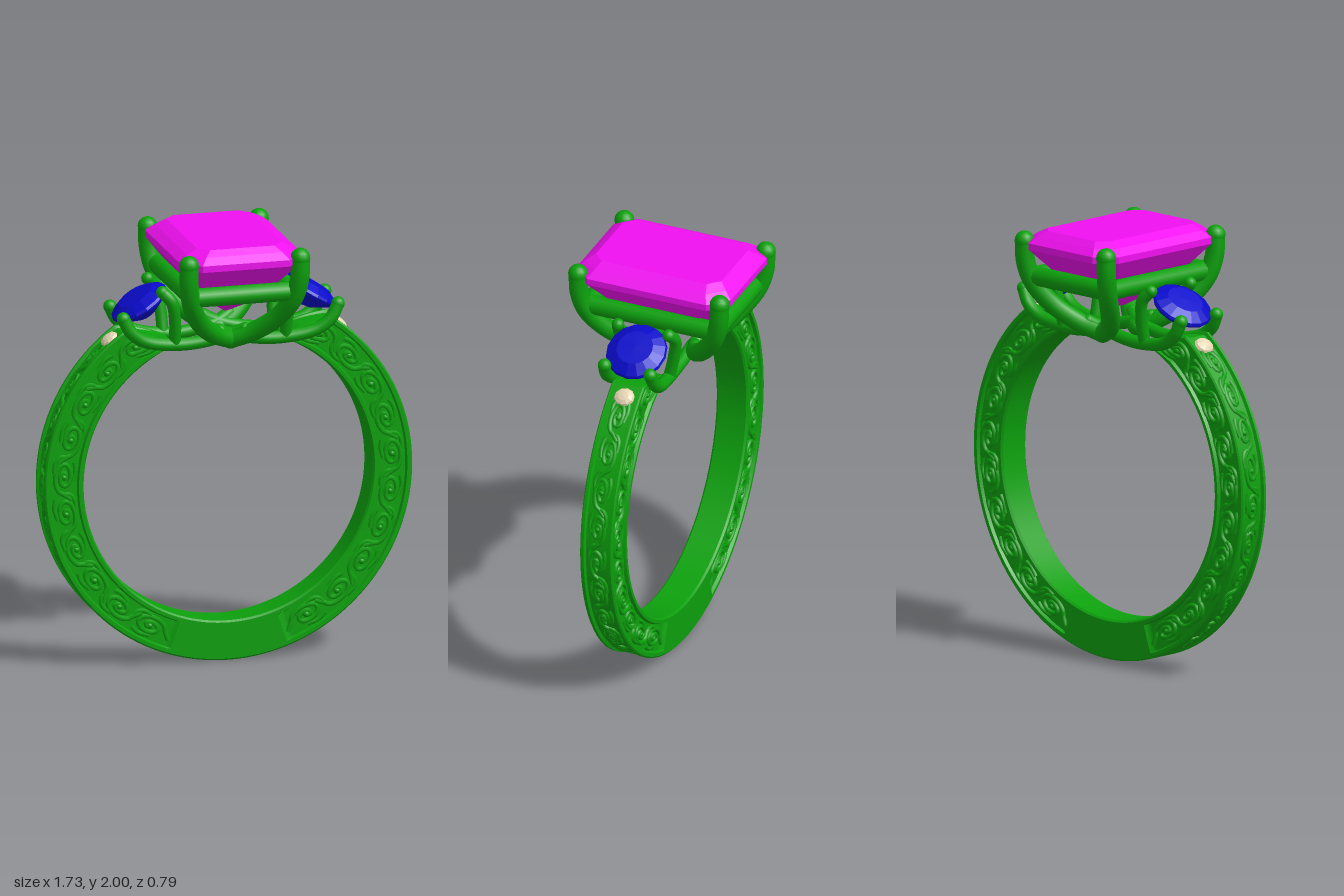
import * as THREE from 'three';
import { toCreasedNormals, mergeGeometries } from 'three/addons/utils/BufferGeometryUtils.js';

const V = (x, y, z) => new THREE.Vector3(x, y, z);
const mat = (color, flatShading = false) => new THREE.MeshStandardMaterial({ color, flatShading });
const rad = THREE.MathUtils.degToRad;
const clamp = THREE.MathUtils.clamp;

const CENTRE = 0.865, INNER = 0.68, OUTER = 0.865, END = 158;

// outer radius of the band: tapers away under the side settings
const outerAt = (deg) => OUTER - 0.165 * clamp((Math.abs(deg) - 145) / (END - 145), 0, 1);
// angle 0 is the bottom of the ring
const onRing = (deg, r, z) => V(r * Math.sin(rad(deg)), CENTRE - r * Math.cos(rad(deg)), z);

// joins closed rings of points into one skin
function loft(rings) {
  const n = rings[0].length, pos = [], idx = [];
  rings.forEach((ring) => ring.forEach((p) => pos.push(p.x, p.y, p.z)));
  for (let i = 0; i < rings.length - 1; i++) {
    for (let j = 0; j < n; j++) {
      const a = i * n + j, b = i * n + (j + 1) % n;
      idx.push(a, b, a + n, b, b + n, a + n);
    }
  }
  const g = new THREE.BufferGeometry();
  g.setAttribute('position', new THREE.Float32BufferAttribute(pos, 3));
  g.setIndex(idx);
  g.computeVertexNormals();
  return g;
}

// round wire with ball ends
function wire(points, r, segs = 32, sides = 12, balls = true) {
  const parts = [new THREE.TubeGeometry(new THREE.CatmullRomCurve3(points), segs, r, sides)];
  if (balls) {
    for (const p of [points[0], points[points.length - 1]]) {
      parts.push(new THREE.SphereGeometry(r * 1.04, 14, 10).translate(p.x, p.y, p.z));
    }
  }
  return mergeGeometries(parts);
}

// band with recessed side and outer panels, plain at the bottom
function bandGeometry() {
  const section = (deg) => {
    const R = outerAt(deg), k = (R - INNER) / (OUTER - INNER);
    const cut = 0.015 * clamp((Math.abs(deg) - 19) / 1.5, 0, 1);
    const half = [
      [INNER, 0.07], [INNER + 0.008 * k, 0.079], [INNER + 0.024 * k, 0.079],
      [INNER + 0.03 * k, 0.079 - cut], [R - 0.03 * k, 0.079 - cut], [R - 0.024 * k, 0.079],
      [R - 0.007 * k, 0.079], [R, 0.073], [R, 0.06], [R - cut * k, 0.054],
    ];
    const back = half.slice().reverse().map(([r, z]) => [r, -z]);
    return [...half, ...back].map(([r, z]) => onRing(deg, r, z));
  };
  const rings = [];
  for (let d = -END; d <= END; d += 1) rings.push(section(d));
  const cap = (deg) => section(deg).map(() => onRing(deg, INNER + 0.01, 0));
  return toCreasedNormals(loft([cap(-END), ...rings, cap(END)]), 0.6);
}

// row of alternating spirals with leaves; place(s, t) maps panel to ring, t in -1..1
function scrollRow(place, from, to, count, r) {
  const parts = [], step = (to - from) / count;
  for (let i = 0; i < count; i++) {
    const mid = from + (i + 0.5) * step, f = i % 2 ? 1 : -1;
    const at = (s, t) => place(mid + s * step, t * f);
    const spiral = [at(-0.62, -0.6)];
    for (let k = 0; k <= 20; k++) {
      const th = (k / 20) * Math.PI * 3.4, q = 1 - 0.85 * (k / 20);
      spiral.push(at(-Math.cos(th) * q * 0.46, Math.sin(th) * q * 0.85));
    }
    parts.push(wire(spiral, r, 44, 6, false));
    // leaf and curl filling the corners between spirals
    parts.push(wire([at(0.1, 0.86), at(0.36, 0.86), at(0.52, 0.5), at(0.55, 0.1)], r * 0.9, 10, 6, false));
    parts.push(wire([at(-0.1, -0.75), at(0.2, -0.92), at(0.42, -0.75)], r * 0.9, 8, 6, false));
    const eye = at(0, 0);
    parts.push(new THREE.SphereGeometry(r * 1.3, 8, 6).translate(eye.x, eye.y, eye.z));
  }
  return mergeGeometries(parts);
}

// cut-corner rectangular gem
function centreGem() {
  const ring = ([y, w, d, c]) => [
    [w - c, d], [c - w, d], [-w, d - c], [-w, c - d],
    [c - w, -d], [w - c, -d], [w, c - d], [w, d - c],
  ].map(([x, z]) => V(x, y, z));
  return loft([
    [2.0, 0, 0, 0], [2.0, 0.2, 0.31, 0.05], [1.975, 0.25, 0.345, 0.07], [1.945, 0.29, 0.38, 0.085],
    [1.915, 0.29, 0.38, 0.085], [1.83, 0.225, 0.3, 0.07], [1.73, 0.14, 0.225, 0.04], [1.63, 0.004, 0.03, 0.002],
    [1.63, 0, 0, 0],
  ].map(ring));
}

// round brilliant with a shallow base
function sideGem() {
  const profile = [[0, -0.075], [0.05, -0.065], [0.137, -0.012], [0.143, 0], [0.137, 0.012], [0.085, 0.04], [0, 0.042]];
  return new THREE.LatheGeometry(profile.map(([r, y]) => new THREE.Vector2(r, y)), 16);
}

export function createModel() {
  const ring = new THREE.Group();
  ring.name = 'threeStoneRing';
  const metal = mat(0x0ca00c), magenta = mat(0xf010f0, true), blue = mat(0x0a0acc, true), cream = mat(0xe6d6b4, true);
  const add = (name, geometry, material) => {
    const m = new THREE.Mesh(geometry, material);
    m.name = name;
    ring.add(m);
    return m;
  };

  add('band', bandGeometry(), metal);
  add('centreStone', centreGem(), magenta);

  // gallery rail under the centre stone
  for (const s of [-1, 1]) {
    add('galleryRailLong', wire([V(s * 0.23, 1.78, -0.31), V(s * 0.23, 1.78, 0.31)], 0.045, 4), metal);
    add('galleryRailShort', wire([V(-0.23, 1.78, s * 0.31), V(0.23, 1.78, s * 0.31)], 0.045, 4), metal);
  }

  for (const sx of [-1, 1]) {
    // engraved scrolls on the rim
    add('outerScrolls', scrollRow(
      (d, t) => onRing(sx * d, outerAt(d) - 0.015, t * 0.043), 22, 140, 10, 0.011), metal);

    // side stone, tilted outward, and the small accent below it
    const gem = add('sideStone', sideGem(), blue);
    gem.position.set(sx * 0.4, 1.69, 0);
    gem.rotation.z = -sx * 0.55;
    const accent = add('accentStone', new THREE.SphereGeometry(0.045, 10, 6), cream);
    accent.position.set(sx * 0.54, 1.527, 0);
    accent.rotation.z = -sx * 0.69;
    accent.scale.set(1, 0.5, 1.1);

    for (const sz of [-1, 1]) {
      const P = (x, y, z) => V(sx * x, y, sz * z);
      // engraved scrolls on the side faces
      add('sideScrolls', scrollRow((d, t) => {
        const R = outerAt(d), h = (R - INNER) / 2;
        return onRing(sx * d, INNER + h + t * h * 0.6, sz * 0.065);
      }, 22, 152, 10, 0.012), metal);

      // centre prong sweeping to the base
      add('centreProng', wire([
        P(0.262, 1.945, 0.35), P(0.26, 1.85, 0.345), P(0.24, 1.75, 0.315),
        P(0.18, 1.64, 0.24), P(0.09, 1.56, 0.16), P(0, 1.52, 0.11),
      ], 0.044, 40, 14), metal);
      // outer prong arching under the side stone to the middle
      add('sideProngOuter', wire([
        P(0.505, 1.65, 0.113), P(0.47, 1.585, 0.118), P(0.4, 1.535, 0.112),
        P(0.25, 1.508, 0.1), P(0.12, 1.515, 0.1), P(0, 1.545, 0.11), P(-0.06, 1.57, 0.14),
      ], 0.03, 40, 12), metal);
      // inner prong next to the centre setting
      add('sideProngInner', wire([
        P(0.325, 1.765, 0.125), P(0.285, 1.72, 0.14), P(0.265, 1.62, 0.125), P(0.26, 1.51, 0.1),
      ], 0.028, 24, 12), metal);
    }
  }
  return ring;
}
